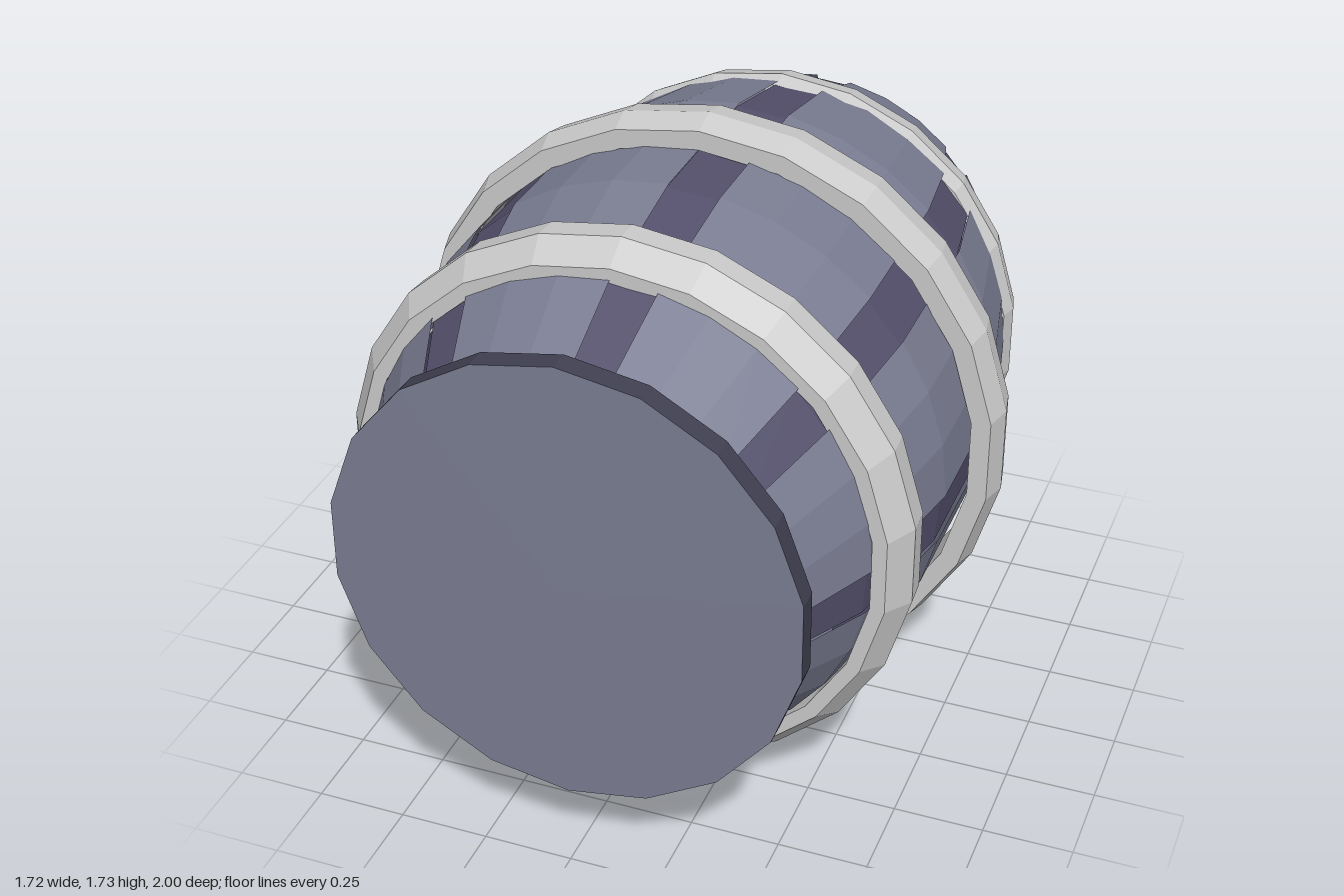
import * as THREE from 'three';

const LIGHT = 0x7b7e93, DARK = 0x54506c, RIM = 0x404052, STEEL = 0xcccccc;

function material(color) {
  return new THREE.MeshStandardMaterial({ color, flatShading: true, side: THREE.DoubleSide });
}

// Turn a [radius, z] profile about the z axis; angles in degrees, clockwise from the top
function turned(name, profile, color, segments, from = 0, to = 360) {
  const points = profile.map(([r, z]) => new THREE.Vector2(r, z));
  const rad = THREE.MathUtils.degToRad;
  const geometry = new THREE.LatheGeometry(points, segments, Math.PI - rad(to), rad(to - from));
  geometry.rotateX(Math.PI / 2);
  const mesh = new THREE.Mesh(geometry, material(color));
  mesh.name = name;
  return mesh;
}

export function createModel() {
  const model = new THREE.Group();
  model.name = 'barrel';

  const body = new THREE.Group();
  body.name = 'body';
  body.position.y = 0.88;
  model.add(body);

  // Staves: eight wide light ones, with narrow dark ones set slightly lower between them
  const bulge = [
    [0.46, -0.95], [0.47, -0.99], [0.53, -1], [0.58, -0.965], [0.705, -0.62],
    [0.778, -0.28], [0.778, 0.25], [0.7, 0.65], [0.57, 0.93],
  ];
  for (let k = 0; k < 8; k++) {
    const a = k * 45;
    const sunk = bulge.map(([r, z]) => [r - 0.01, z]);
    body.add(turned('darkStave', sunk, DARK, 1, a - 0.5, a + 11));
    body.add(turned('lightStave', bulge, LIGHT, 3, a + 10.5, a + 45));
  }

  // Front lid with a dark edge
  body.add(turned('frontLidEdge', [[0.54, 0.92], [0.62, 0.92], [0.645, 0.935], [0.645, 0.999]], RIM, 18));
  body.add(turned('frontLidFace', [[0.645, 0.999], [0, 1]], LIGHT, 18));

  // Recessed back lid with a raised ring
  body.add(turned('backLid', [[0, -0.945], [0.37, -0.945], [0.385, -0.965], [0.41, -0.965], [0.43, -0.95], [0.5, -0.95]], DARK, 18));

  // Hexagonal bung on the back lid
  const bung = turned('bung', [[0, -0.965], [0.03, -0.965], [0.035, -0.985], [0.05, -0.985], [0.062, -0.97], [0.062, -0.94]], RIM, 6);
  bung.position.set(0.09, -0.1, 0);
  body.add(bung);

  // Bevelled hoops, hanging a little low so a gap shows underneath
  const hoops = [
    ['frontHoop', [[0.725, 0.49], [0.79, 0.49], [0.795, 0.57], [0.745, 0.65], [0.705, 0.65]]],
    ['middleHoop', [[0.79, -0.13], [0.85, -0.13], [0.867, -0.045], [0.845, 0.035], [0.79, 0.035]]],
    ['backHoop', [[0.685, -0.715], [0.71, -0.715], [0.73, -0.64], [0.715, -0.59], [0.7, -0.59]]],
  ];
  for (const [name, profile] of hoops) {
    const hoop = turned(name, [...profile, profile[0]], STEEL, 22);
    hoop.position.y = 0.867;
    model.add(hoop);
  }

  return model;
}
